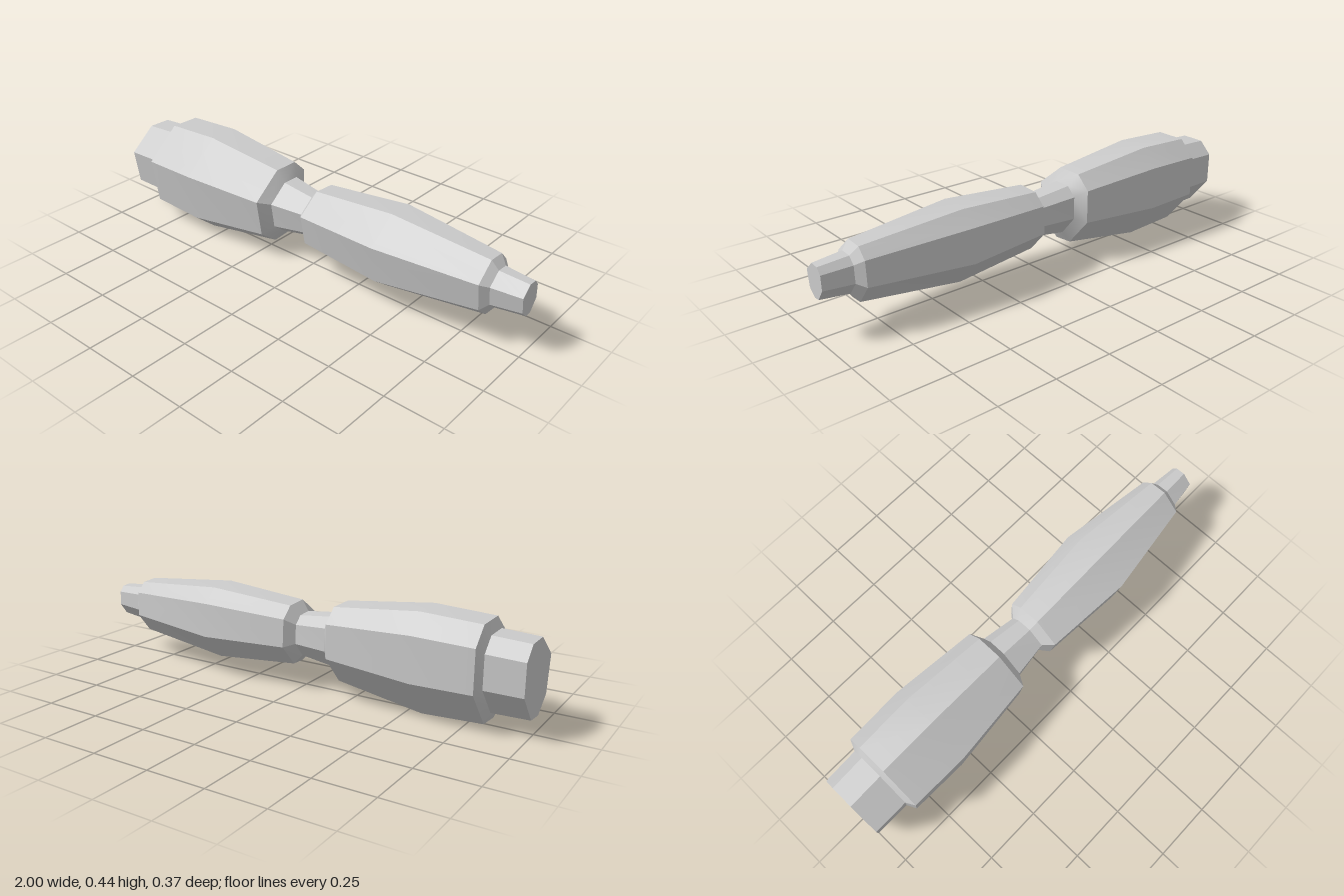
import * as THREE from 'three';
import { toCreasedNormals } from 'three/addons/utils/BufferGeometryUtils.js';

// Eight-sided sections as [z, y] fractions of their bounds, clockwise seen from +x
const UPPER = [[0.57, 1], [0.2, 0.995], [0, 0.82], [0, 0.39], [0.35, 0.02], [0.635, 0], [0.918, 0.197], [1, 0.69]];
const LOWER = [[0.6, 1], [0.23, 0.98], [0.03, 0.8], [0, 0.36], [0.33, 0.01], [0.6, 0], [0.9, 0.21], [1, 0.71]];

// Stations along the limb: [x, bottom, top, back, front, section]
const STATIONS = [
  [-1, 0.063, 0.375, -0.135, 0.14, UPPER],
  [-0.845, 0.06, 0.383, -0.14, 0.14, UPPER],
  [-0.825, 0.012, 0.426, -0.178, 0.18, UPPER],
  [-0.57, 0, 0.438, -0.184, 0.184, UPPER],
  [-0.19, 0.062, 0.395, -0.157, 0.147, UPPER],
  [-0.157, 0.115, 0.343, -0.11, 0.093, UPPER],
  [-0.005, 0.14, 0.325, -0.095, 0.075, LOWER],
  [0.03, 0.1, 0.368, -0.137, 0.118, LOWER],
  [0.41, 0.07, 0.4, -0.175, 0.145, LOWER],
  [0.845, 0.122, 0.36, -0.12, 0.08, LOWER],
  [0.875, 0.163, 0.325, -0.088, 0.049, LOWER],
  [1, 0.178, 0.315, -0.076, 0.031, LOWER],
];

function ring([x, bottom, top, back, front, section]) {
  return section.map(([z, y]) => [x, bottom + y * (top - bottom), back + z * (front - back)]);
}

// Skin a run of stations, optionally closing either end
function loft(stations, capStart, capEnd) {
  const rings = stations.map(ring);
  const n = rings[0].length;
  const points = [];
  const tri = (a, b, c) => points.push(...a, ...b, ...c);
  for (let i = 0; i < rings.length - 1; i++) {
    for (let k = 0; k < n; k++) {
      const j = (k + 1) % n;
      const [a, b, c, d] = [rings[i][k], rings[i][j], rings[i + 1][k], rings[i + 1][j]];
      tri(a, c, b);
      tri(b, c, d);
    }
  }
  const first = rings[0], last = rings[rings.length - 1];
  for (let k = 1; k < n - 1; k++) {
    if (capStart) tri(first[0], first[k], first[k + 1]);
    if (capEnd) tri(last[0], last[k + 1], last[k]);
  }
  const geometry = new THREE.BufferGeometry();
  geometry.setAttribute('position', new THREE.Float32BufferAttribute(points, 3));
  return toCreasedNormals(geometry, 0.45);
}

export function createModel() {
  const group = new THREE.Group();
  group.name = 'limb';
  const material = new THREE.MeshStandardMaterial({ color: 0xcccccc });

  // Each part spans a run of stations and shares its end ring with the next
  const parts = [
    ['shoulderStub', 0, 1],
    ['upperSegment', 1, 5],
    ['elbowNeck', 5, 6],
    ['lowerSegment', 6, 10],
    ['wristStub', 10, 11],
  ];
  for (const [name, from, to] of parts) {
    const geometry = loft(STATIONS.slice(from, to + 1), from === 0, to === STATIONS.length - 1);
    const mesh = new THREE.Mesh(geometry, material);
    mesh.name = name;
    group.add(mesh);
  }
  return group;
}
